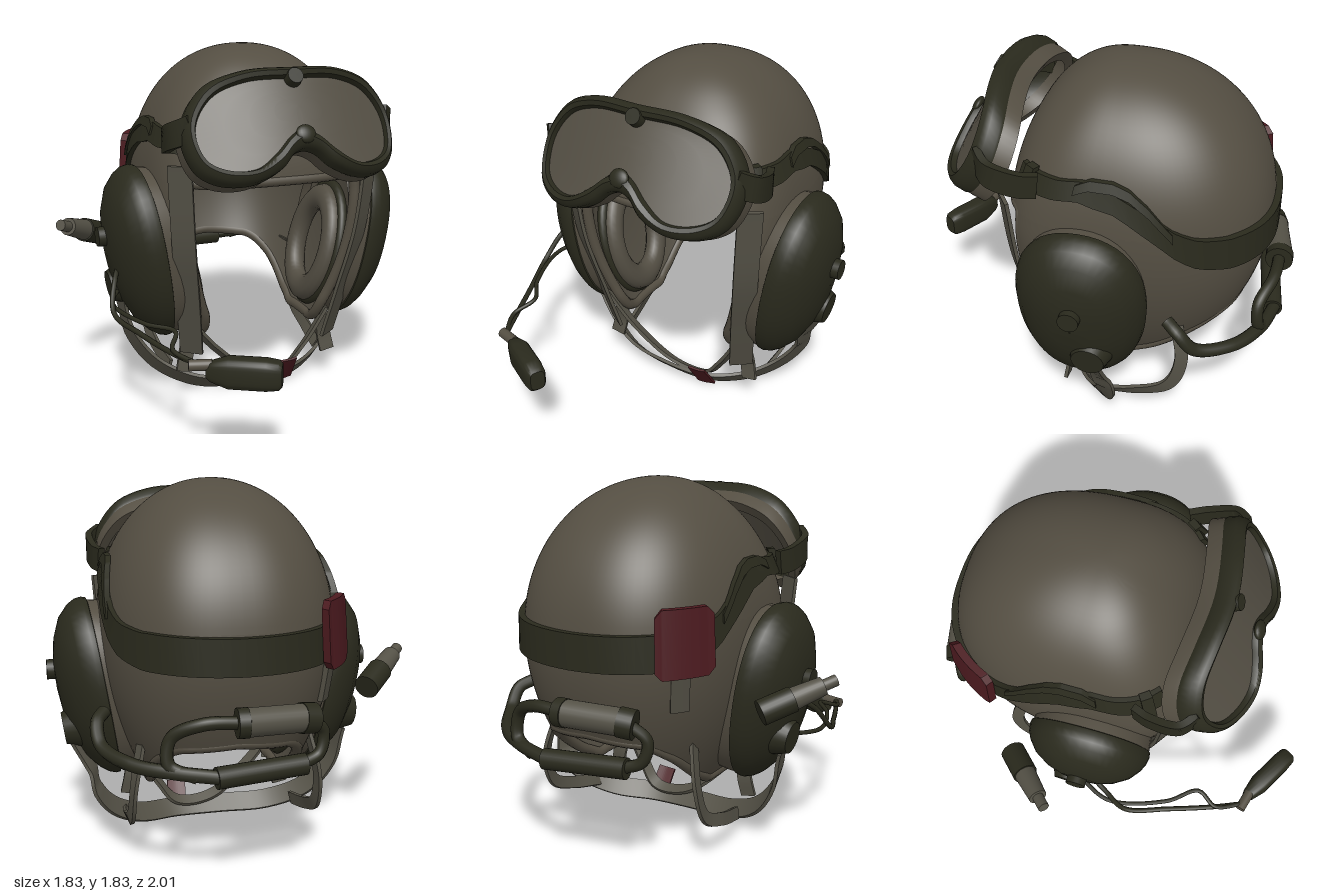
import * as THREE from 'three';
import { toCreasedNormals } from 'three/addons/utils/BufferGeometryUtils.js';

const C = 0.085; // middle of the helmet in x
const V = (x, y, z) => new THREE.Vector3(x, y, z);
const rad = THREE.MathUtils.degToRad;
const spow = (v, p) => Math.sign(v) * Math.pow(Math.abs(v), p);
const range = (n, f) => Array.from({ length: n + 1 }, (_, i) => f(i / n, i));

const colour = (name, hex) => {
  const m = new THREE.MeshStandardMaterial({ color: hex, side: THREE.DoubleSide });
  m.name = name;
  return m;
};

// Linear interpolation in a short table of [key, value]
function table(t, k) {
  for (let i = 1; i < t.length; i++) {
    if (k <= t[i][0]) return THREE.MathUtils.mapLinear(Math.max(k, t[0][0]), t[i - 1][0], t[i][0], t[i - 1][1], t[i][1]);
  }
  return t[t.length - 1][1];
}

// Skin between rows of points; ring closes each row, cap closes both ends
function loft(rows, ring = false, cap = false, crease = 0.7) {
  if (cap) {
    const flat = (r) => {
      const m = r.reduce((s, p) => s.add(p), V(0, 0, 0)).divideScalar(r.length);
      return r.map(() => m);
    };
    rows = [flat(rows[0]), ...rows, flat(rows[rows.length - 1])];
  }
  const n = rows[0].length, idx = [];
  for (let i = 0; i < rows.length - 1; i++) {
    for (let j = 0; j < (ring ? n : n - 1); j++) {
      const a = i * n + j, b = i * n + ((j + 1) % n);
      idx.push(a, a + n, b, b, a + n, b + n);
    }
  }
  const g = new THREE.BufferGeometry().setFromPoints(rows.flat());
  g.setIndex(idx);
  return toCreasedNormals(g, crease);
}

// Helmet surface at azimuth a (degrees, 0 = front, 90 = left) and height y
function surf(a, y, off = 0) {
  const d = y - 1.1, s = Math.sin(rad(a)), c = Math.cos(rad(a));
  const k = d > 0 ? Math.pow(Math.max(0, 1 - Math.pow(d / 0.73, 2.1)), 1 / 2.1) : 1 - 0.38 * (d / 0.75) ** 2;
  const e = c > 0 ? 3.5 - 1.1 * THREE.MathUtils.clamp(d / 0.6, 0, 1) : 2.4;
  const f = k * (1 + off / 0.57);
  return V(C + 0.57 * spow(s, 2 / e) * f, y, -0.135 + (c > 0 ? 0.52 : 0.74) * spow(c, 2 / e) * f);
}

const hem = (a) => table([[46, 0.47], [54, 0.39], [70, 0.35], [100, 0.35], [115, 0.42], [135, 0.57], [150, 0.65], [180, 0.68]], a > 180 ? 360 - a : a);

// Flat band hugging the helmet
const band = (a0, a1, y, half, off, thick = 0.02) => loft(range(70, (t) => {
  const a = a0 + (a1 - a0) * t, k = a > 180 ? 360 - a : Math.abs(a), m = y(k), h = half(k);
  return [surf(a, m + h, off + thick), surf(a, m + h, off), surf(a, m - h, off), surf(a, m - h, off + thick)];
}), true, true);

// Webbing strap along a curve
function ribbon(pts, width, side, thick = 0.018) {
  const curve = new THREE.CatmullRomCurve3(pts);
  return loft(range(50, (t) => {
    const p = curve.getPoint(t), dir = curve.getTangent(t);
    const w = side.clone().addScaledVector(dir, -side.dot(dir)).normalize();
    const n = dir.clone().cross(w).multiplyScalar(thick / 2);
    w.multiplyScalar(width / 2);
    return [[1, 1], [1, -1], [-1, -1], [-1, 1]].map(([u, v]) => p.clone().addScaledVector(w, u).addScaledVector(n, v));
  }), true, true);
}

const tube = (pts, r, closed = false, n = 60) =>
  new THREE.TubeGeometry(new THREE.CatmullRomCurve3(pts, closed), n, r, 10, closed);

// Cylinder between two points
function rod(p, q, r1, r2 = r1) {
  const d = q.clone().sub(p);
  const g = new THREE.CylinderGeometry(r2, r1, d.length(), 24);
  g.applyQuaternion(new THREE.Quaternion().setFromUnitVectors(V(0, 1, 0), d.normalize()));
  return g.translate((p.x + q.x) / 2, (p.y + q.y) / 2, (p.z + q.z) / 2);
}

export function createModel() {
  const shell = colour('shell drab', 0x544e42), olive = colour('dark olive', 0x2a2a1d);
  const lining = colour('lining', 0x524d42), web = colour('webbing', 0x545146);
  const red = colour('dark red', 0x4c1a1f), lens = colour('lens', 0x544f44);
  const model = new THREE.Group();
  const add = (name, geo, mat, parent = model) => {
    const m = new THREE.Mesh(geo, mat);
    m.name = name;
    parent.add(m);
    return m;
  };

  // Dome and skirt, outer shell and inner lining
  for (const [label, mat, off, top] of [['shell', shell, 0, 0.73], ['lining', lining, -0.045, 0.69]]) {
    add(label + 'Dome', loft(range(28, (t) => {
      const y = 1.1 + top * Math.sin(0.137 + (Math.PI / 2 - 0.137) * t);
      return range(96, (u) => surf(u * 360, y, off));
    }), false, false, 1.2), mat);
    add(label + 'Skirt', loft(range(20, (t) => range(80, (u) => {
      const a = 46 + 268 * u;
      return surf(a, 1.205 + (hem(a) - 1.205) * t, off);
    })), false, false, 1.2), mat);
  }
  const edge = [
    ...range(40, (t) => surf(46 + 268 * t, hem(46 + 268 * t), -0.022)),
    ...range(6, (t) => surf(314, 0.55 + 0.58 * t, -0.022)),
    ...range(12, (t) => surf(316 + 88 * t, 1.2, -0.022)),
    ...range(6, (t) => surf(46, 1.13 - 0.58 * t, -0.022)),
  ];
  add('edgeTrim', tube(edge, 0.028, true, 220), shell);

  // Ear cups, seals, front straps and nape straps on both sides
  for (const s of [1, -1]) {
    const X = (o) => C + s * o;
    const cupRing = ([k, depth]) => range(47, (t) => {
      const th = t * Math.PI * 2 * 47 / 48, v = spow(Math.sin(th), 0.9);
      const y = 0.79 + 0.455 * v * k;
      return V(X(0.495 + (y - 0.79) * 0.16 + depth), y, -0.055 + 0.315 * spow(Math.cos(th), 0.9) * (1 + 0.08 * v) * k);
    });
    add('earCupBase', loft([[0.93, -0.08], [0.96, 0], [0.97, 0.06]].map(cupRing), true), shell);
    add('earCupCover', loft([[0.95, 0.045], [0.99, 0.05], [1, 0.075], [0.98, 0.11], [0.92, 0.15], [0.78, 0.205], [0.55, 0.25], [0.3, 0.275], [0.01, 0.283]].map(cupRing), true), olive);
    add('earCupKnob', rod(V(X(0.7), 0.89, -0.06), V(X(0.825), 0.89, -0.06), 0.05), olive);
    add('strapPivot', rod(V(X(0.62), 0.62, -0.13), V(X(0.755), 0.6, -0.13), 0.13, 0.08), olive);
    // Padded seal with a dark ring behind it
    for (const [name, r, t, o, mat] of [['earSeal', 0.19, 0.055, 0.4, lining], ['earSealRing', 0.235, 0.03, 0.43, olive]]) {
      const seal = add(name, new THREE.TorusGeometry(r, t, 12, 40).rotateY(Math.PI / 2).scale(1, 1.35, 1), mat);
      seal.position.set(X(o), 0.73, -0.09);
      seal.rotation.z = -s * 0.25;
    }
    add('frontStrap', ribbon([V(X(0.51), 1.3, 0.33), V(X(0.48), 0.9, 0.29), V(X(0.43), 0.55, 0.2), V(X(0.39), 0.27, 0.12)], 0.12, V(1, 0, -s * 0.7)), web);
    add('looseEnd', ribbon([V(X(0.38), 0.36, 0.08), V(X(0.4), 0.25, 0.06), V(X(0.42), 0.15, 0.07)], 0.08, V(1, 0.4 * s, 0)), web);
    add('napeStrap', ribbon([V(X(0.4), 0.66, -0.48), V(X(0.45), 0.42, -0.53), V(X(0.46), 0.25, -0.47), V(X(0.46), 0.17, -0.3), V(X(0.44), 0.12, -0.1)], 0.065, V(0.2, 0.3, 1)), web);
    // Folded slack of the goggle strap
    add('strapFold', band(s * 83, s * 112, (k) => table([[83, 1.42], [88, 1.45], [93, 1.45], [98, 1.425], [104, 1.36], [112, 1.24]], k), () => 0.022, 0.005, 0.03), olive);
    add('strapSlide', band(s * 50, s * 58, () => 1.405, () => 0.06, 0.01, 0.04), olive);
    add('strapHook', ribbon([V(X(0.49), 1.5, 0.46), V(X(0.56), 1.455, 0.38), V(X(0.55), 1.41, 0.24), V(X(0.52), 1.4, 0.16)], 0.12, V(0, 1, 0), 0.035), olive);
  }

  // Goggle strap and its red tab
  add('goggleStrap', band(42, 318,
    (k) => table([[42, 1.4], [75, 1.4], [85, 1.415], [94, 1.375], [107, 1.26], [114, 1.19], [122, 1.145], [136, 1.12], [180, 1.11]], k),
    (k) => table([[42, 0.045], [94, 0.045], [120, 0.075], [140, 0.085]], k), -0.01, 0.035), olive);
  add('redTab', band(-144, -118, () => 1.165, (k) => table([[118, 0.12], [121, 0.155], [141, 0.155], [144, 0.12]], k), 0.03, 0.035), red);
  add('strapTail', band(-137, -128, () => 0.92, () => 0.09, 0, 0.025), web);

  // Goggles: outlines are the right half, mirrored, then wrapped round the face
  const goggles = new THREE.Group();
  goggles.name = 'goggles';
  goggles.position.set(C, 1.5, 0.61);
  goggles.rotation.x = -rad(29);
  model.add(goggles);
  const outline = (half) => {
    const pts = [...half, ...half.slice(1, -1).reverse().map(([x, y]) => [-x, y])];
    return new THREE.CatmullRomCurve3(pts.map(([x, y]) => V(x, y, 0)), true).getPoints(108).slice(0, -1);
  };
  const outer = outline([[0, 0.305], [0.25, 0.305], [0.43, 0.25], [0.53, 0.09], [0.5, -0.12], [0.41, -0.205], [0.27, -0.23], [0.13, -0.18], [0.06, -0.115], [0, -0.095]]);
  const inner = outline([[0, 0.245], [0.24, 0.245], [0.39, 0.195], [0.475, 0.07], [0.455, -0.09], [0.37, -0.155], [0.25, -0.17], [0.15, -0.11], [0.06, -0.03], [0, -0.005]]);
  const wrap = (p, z) => V(p.x, p.y, z - 0.48 * p.x * p.x);
  const ringAt = ([f, z]) => outer.map((p, i) => wrap(p.clone().lerp(inner[i], f), z));
  add('goggleFrame', loft([[0.1, -0.09], [0, -0.075], [0, -0.025], [0.2, 0], [0.5, 0.015], [0.85, 0.005], [1, -0.02], [1, -0.04]].map(ringAt), true), olive, goggles);
  add('goggleFoam', loft([[0.15, -0.08], [0.1, -0.11], [0.15, -0.17], [1, -0.17]].map(ringAt), true), shell, goggles);
  add('goggleLens', loft([1.01, 0.75, 0.5, 0.25, 0.001].map((k) =>
    inner.map((p) => wrap(V(p.x * k, 0.11 + (p.y - 0.11) * k, 0), -0.022))), true, false, 1.2), lens, goggles);
  add('goggleVent', rod(V(0, 0.245, -0.03), V(0, 0.245, 0.02), 0.045, 0.038), olive, goggles);
  add('noseClip', new THREE.SphereGeometry(0.045, 20, 12).scale(1.1, 1, 0.5).translate(0, -0.035, 0), olive, goggles);

  // Chin straps
  add('chinStrap', ribbon([V(0.79, 0.56, -0.13), V(0.71, 0.4, -0.15), V(0.68, 0.28, -0.18), V(0.6, 0.17, -0.14), V(0.45, 0.08, -0.04),
    V(0.25, 0.05, 0.06), V(0, 0.05, 0.07), V(-0.25, 0.07, 0.03), V(-0.45, 0.17, -0.05), V(-0.57, 0.34, -0.1), V(-0.61, 0.52, -0.12)], 0.105, V(0, 0.72, 0.69)), web);
  add('innerChinStrap', ribbon([V(-0.36, 0.5, 0.15), V(-0.17, 0.27, 0.12), V(0.05, 0.1, 0.08), V(0.24, 0.09, 0.07), V(0.34, 0.2, 0.09), V(0.47, 0.42, 0.12)], 0.06, V(0, 0.5, 0.85)), web);
  add('chinTab', ribbon([V(0.185, 0.085, 0.112), V(0.235, 0.088, 0.112), V(0.285, 0.095, 0.108)], 0.18, V(0.15, 0.83, 0.55), 0.012), red);

  // Microphone and boom
  add('boom', tube([V(-0.62, 0.78, -0.05), V(-0.69, 0.7, 0.08), V(-0.73, 0.57, 0.2), V(-0.66, 0.53, 0.42), V(-0.58, 0.51, 0.65), V(-0.52, 0.51, 0.8)], 0.013), olive);
  add('boomWire', tube([V(-0.62, 0.6, -0.1), V(-0.71, 0.58, 0.1), V(-0.63, 0.57, 0.4), V(-0.53, 0.57, 0.55), V(-0.58, 0.53, 0.66), V(-0.52, 0.51, 0.8)], 0.011), olive);
  add('boomJoint', rod(V(-0.55, 0.5, 0.79), V(-0.45, 0.5, 0.82), 0.026), shell);
  const mic = add('microphone', loft([[-0.17, 0.45], [-0.15, 0.65], [-0.07, 1], [0.1, 1], [0.155, 0.9], [0.17, 0.7]].map(([x, k]) =>
    range(31, (t) => V(x, 0.073 * k * spow(Math.sin(t * 6.087), 0.6), 0.052 * k * spow(Math.cos(t * 6.087), 0.6)))), true, true), olive);
  mic.position.set(-0.325, 0.47, 0.895);
  mic.rotation.y = -0.53;

  // Plug beside the right ear cup
  const a = V(-0.9, 0.94, -0.17), b = V(-0.64, 0.81, -0.43), at = (t) => a.clone().lerp(b, t);
  add('plugTip', rod(at(0), at(0.22), 0.028), web);
  add('plugBody', rod(at(0.18), at(0.6), 0.045, 0.055), web);
  add('plugSleeve', rod(at(0.58), at(1), 0.062), olive);

  // Cable and connector behind the neck
  add('cable', tube([V(0.66, 0.78, -0.47), V(0.7, 0.75, -0.53), V(0.69, 0.66, -0.61), V(0.57, 0.62, -0.78), V(0.4, 0.61, -0.89), V(0.2, 0.59, -0.94)], 0.032), olive);
  add('cableLoop', tube([V(0.3, 0.59, -0.92), V(0.42, 0.64, -0.88), V(0.41, 0.76, -0.87), V(0.28, 0.83, -0.92), V(0.08, 0.83, -0.93)], 0.03), olive);
  add('lowerConnector', rod(V(0.22, 0.585, -0.93), V(-0.2, 0.6, -0.87), 0.05), olive);
  add('upperConnector', rod(V(0.09, 0.83, -0.93), V(-0.18, 0.82, -0.88), 0.065), web);
  add('connectorCollar', rod(V(-0.17, 0.82, -0.88), V(-0.24, 0.81, -0.86), 0.07), olive);
  add('connectorRing', rod(V(0.13, 0.83, -0.93), V(0.08, 0.83, -0.93), 0.068), olive);
  add('connectorTail', tube([V(-0.22, 0.81, -0.87), V(-0.29, 0.74, -0.84), V(-0.27, 0.64, -0.85), V(-0.18, 0.6, -0.87)], 0.028), olive);

  return model;
}
